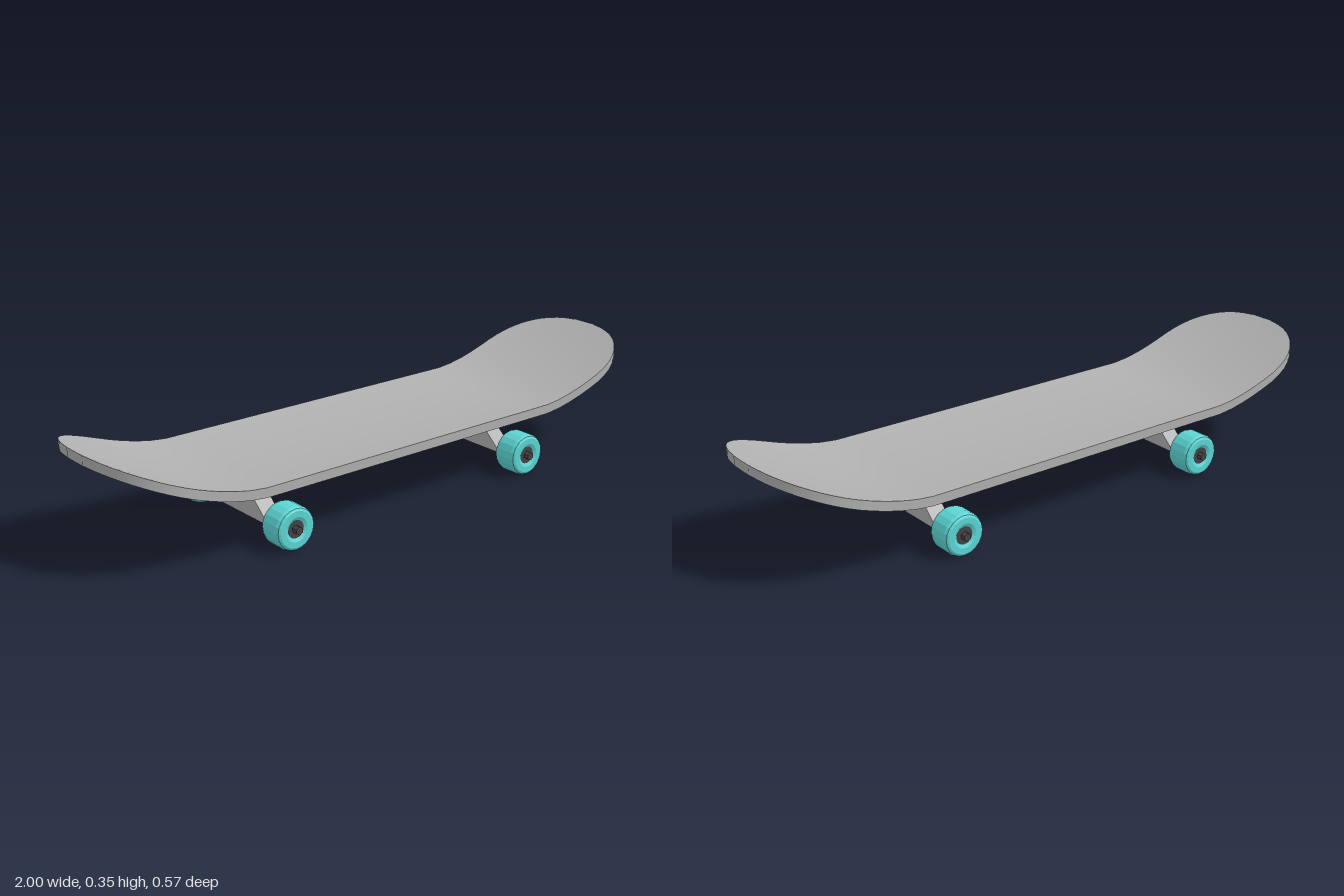
import * as THREE from 'three';

const paint = (name, color) => {
  const m = new THREE.MeshStandardMaterial({ color });
  m.name = name;
  return m;
};

// Separate faces give the crisp faceted look
const faceted = (geometry) => {
  const g = geometry.index ? geometry.toNonIndexed() : geometry;
  g.computeVertexNormals();
  return g;
};

function add(parent, name, geometry, material, x = 0, y = 0, z = 0) {
  const mesh = new THREE.Mesh(geometry, material);
  mesh.name = name;
  mesh.position.set(x, y, z);
  parent.add(mesh);
  return mesh;
}

const HALF_WIDTH = 0.257;

// Deck: a subdivided box shaped to a rounded outline, slight dish and kicked ends
function deckGeometry() {
  const g = new THREE.BoxGeometry(2, 1, 2, 48, 1, 12);
  const p = g.attributes.position;
  for (let i = 0; i < p.count; i++) {
    const s = p.getX(i), v = p.getZ(i);
    const ax = 1 - (1 - Math.abs(s)) ** 2;
    const t = Math.max(0, (ax - 0.77) / 0.23);
    const half = Math.max(0.042, HALF_WIDTH * Math.max(0, 1 - t ** 2.3) ** (1 / 2.3));
    const z = v * half;
    const kick = 0.155 * Math.max(0, (ax - 0.55) / 0.45) ** 1.6;
    const dish = 0.015 * (z / HALF_WIDTH) ** 2;
    const y = (p.getY(i) > 0 ? 0.198 : 0.168) + dish + kick;
    p.setXYZ(i, Math.sign(s) * ax, y, z);
  }
  g.computeVertexNormals();
  return g;
}

export function createModel() {
  const model = new THREE.Group();
  model.name = 'skateboard';
  const grey = paint('grey', 0xb0b0b0);
  const teal = paint('teal', 0x5cd6d4);
  const dark = paint('darkMetal', 0x444448);
  const yellow = paint('yellow', 0xd6b63e);

  add(model, 'deck', deckGeometry(), grey);

  // Shared truck geometries
  const hangerShape = new THREE.Shape([
    new THREE.Vector2(-0.175, 0.053), new THREE.Vector2(0.175, 0.053),
    new THREE.Vector2(0.097, 0.122), new THREE.Vector2(-0.097, 0.122),
  ]);
  const hanger = new THREE.ExtrudeGeometry(hangerShape, { depth: 0.056, bevelEnabled: false });
  hanger.translate(0, 0, -0.028).rotateY(Math.PI / 2);

  const profile = [
    [0.026, -0.036], [0.038, -0.042], [0.056, -0.042], [0.063, -0.038], [0.067, -0.028],
    [0.067, 0.028], [0.063, 0.038], [0.056, 0.042], [0.038, 0.042], [0.026, 0.036],
  ].map(([r, y]) => new THREE.Vector2(r, y));
  const wheel = faceted(new THREE.LatheGeometry(profile, 20).rotateX(Math.PI / 2));
  const rod = (r, length, sides) =>
    faceted(new THREE.CylinderGeometry(r, r, length, sides));
  const hub = rod(0.028, 0.074, 16).rotateX(Math.PI / 2);
  const axleNut = rod(0.013, 0.03, 6).rotateX(Math.PI / 2);
  const axle = rod(0.008, 0.54, 8).rotateX(Math.PI / 2);

  // Each truck faces outward; the +x one is turned round for the -x end
  for (const side of [1, -1]) {
    const truck = new THREE.Group();
    truck.name = side > 0 ? 'leftTruck' : 'rightTruck';
    truck.position.x = side > 0 ? 0.459 : -0.465;
    if (side < 0) truck.rotation.y = Math.PI;
    model.add(truck);

    add(truck, 'basePlate', new THREE.BoxGeometry(0.158, 0.024, 0.15), grey, 0, 0.16, 0);
    add(truck, 'hanger', hanger, grey);
    add(truck, 'axle', axle, dark, 0, 0.067, 0);

    // Kingpin leans down toward the middle of the board
    const pivot = new THREE.Group();
    pivot.name = 'kingpinAssembly';
    pivot.position.set(-0.034, 0.108, 0);
    pivot.rotation.z = -Math.PI / 4;
    truck.add(pivot);
    add(pivot, 'kingpin', rod(0.012, 0.08, 10), dark, 0, 0.024, 0);
    add(pivot, 'bushing', faceted(new THREE.CylinderGeometry(0.028, 0.024, 0.024, 16)), yellow);
    add(pivot, 'kingpinNut', rod(0.014, 0.016, 6), dark, 0, -0.018, 0);

    // Wheels with bearings and nuts
    for (const end of [1, -1]) {
      add(truck, 'wheel', wheel, teal, 0, 0.067, end * 0.23);
      add(truck, 'bearing', hub, dark, 0, 0.067, end * 0.23);
      add(truck, 'axleNut', axleNut, dark, 0, 0.067, end * 0.269);
    }
  }
  return model;
}
